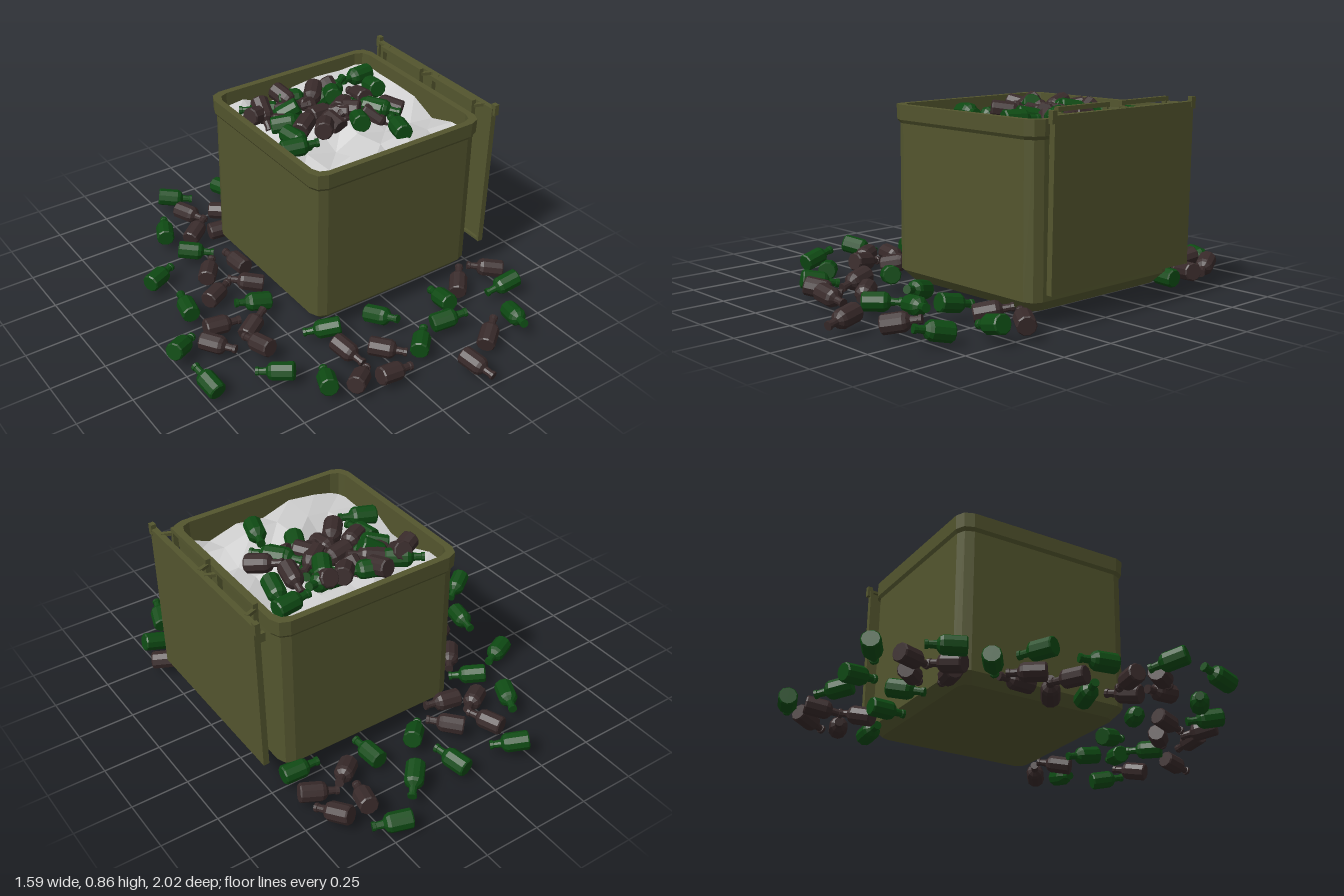
import * as THREE from 'three';

const mat = (name, color, side = THREE.FrontSide) =>
  new THREE.MeshStandardMaterial({ name, color, side, flatShading: true });

// small seeded random in the range -1..1
function makeRandom(seed) {
  return () => {
    seed = (seed * 16807) % 2147483647;
    return (seed / 2147483647) * 2 - 1;
  };
}

// rounded-rectangle loop of the bin at a given inset and height
function binLoop(inset, y) {
  const pts = [], hx = 0.42 - inset, hz = 0.415 - inset;
  const r = Math.max(0.02, 0.055 - inset * 0.3);
  for (const [sx, sz, a0] of [[1, 1, 0], [-1, 1, 1], [-1, -1, 2], [1, -1, 3]]) {
    for (let i = 0; i < 3; i++) {
      const a = (a0 + i / 2) * Math.PI / 2;
      pts.push(new THREE.Vector3(
        0.26 + sx * (hx - r) + r * Math.cos(a), y, -0.075 + sz * (hz - r) + r * Math.sin(a)));
    }
  }
  return pts;
}

// skin consecutive loops, closing the first one with a flat floor
function loft(loops) {
  const tris = [], n = loops[0].length;
  for (let k = 0; k < loops.length - 1; k++) {
    for (let i = 0; i < n; i++) {
      const j = (i + 1) % n, a = loops[k], b = loops[k + 1];
      tris.push(a[i], b[i], a[j], a[j], b[i], b[j]);
    }
  }
  for (let i = 1; i < n - 1; i++) tris.push(loops[0][0], loops[0][i], loops[0][i + 1]);
  const geo = new THREE.BufferGeometry().setFromPoints(tris);
  geo.computeVertexNormals();
  return geo;
}

// plan positions: base x, base z, neck x, neck z (hundredths of a unit)
const greenGround = [
  [-25, -92, -10, -83], [40, -98, 56, -92], [6, -89, 10, -73], [23, -77, 34, -89],
  [-39, -58, -32, -73], [16, -65, 4, -53], [-38, -47, -25, -38], [-61, -33, -46, -40],
  [-57, -2, -54, -17], [-22, 6, -37, 2], [-77, 18, -63, 9], [-71, 45, -73, 28],
  [-40, 54, -53, 43], [-9, 42, -23, 34], [-35, 71, -28, 56], [10, 72, 21, 61],
  [8, 37, 14, 53], [26, 61, 41, 65], [39, 57, 41, 41], [77, 58, 61, 56],
  [62, 69, 57, 85], [32, -64, 33, -49], [69, -50, 54, -51]];
const brownGround = [
  [-21, -77, -16, -64], [-8, -68, 2, -58], [-28, -54, -16, -62], [52, -85, 48, -71],
  [61, -84, 67, -72], [69, -63, 56, -68], [44, -59, 54, -68], [-37, -23, -29, -33],
  [-20, -19, -21, -32], [-45, -8, -31, -15], [-18, -7, -30, -15], [-56, 9, -41, 11],
  [-61, 15, -53, 27], [-43, 20, -30, 13], [-42, 37, -45, 23], [-17, 50, -14, 64],
  [-5, 58, 5, 69], [-25, 75, -13, 66], [-13, 76, 2, 76], [51, 48, 60, 38],
  [78, 47, 65, 38], [37, 83, 49, 74], [23, 85, 26, 100], [-16, -52, -5, -50]];
const greenPile = [
  [61, -36, 45, -34], [53, -18, 56, -33], [38, 20, 42, 7], [-10, 1, 3, 5],
  [43, -2, 36, -14], [28, 4, 34, -10], [12, -35, 24, -31], [-2, -20, 10, -12],
  [30, -20, 37, -33], [40, -8, 48, 3]];
const brownPile = [
  [-9, -27, 4, -32], [43, -15, 45, -28], [52, -1, 44, -11], [12, -40, 15, -26],
  [4, -8, 16, -16], [5, -28, 18, -22], [34, -6, 24, -18], [29, -34, 20, -24],
  [21, -2, 20, -17], [10, 1, 19, -10], [27, -12, 38, -20]];

export function createModel() {
  const root = new THREE.Group();
  const olive = mat('olive metal', 0x53552e, THREE.DoubleSide);
  const green = mat('green glass', 0x0e4a13);
  const brown = mat('brown glass', 0x382a2a);
  const grey = mat('pale filling', 0xd2d2d2, THREE.DoubleSide);

  const add = (name, geo, material, x = 0, y = 0, z = 0, parent = root) => {
    const mesh = new THREE.Mesh(geo, material);
    mesh.name = name;
    mesh.position.set(x, y, z);
    parent.add(mesh);
    return mesh;
  };
  const box = (name, w, h, d, x, y, z, parent) =>
    add(name, new THREE.BoxGeometry(w, h, d), olive, x, y, z, parent);

  // bin body with overhanging rim and hollow top
  const profile = [[0.04, 0.055], [0, 0.1], [0, 0.735], [-0.01, 0.75], [-0.012, 0.815],
    [0.018, 0.815], [0.022, 0.6]];
  add('binBody', loft(profile.map(([inset, y]) => binLoop(inset, y))), olive);

  // crumpled filling
  const rnd = makeRandom(4711);
  const fill = new THREE.PlaneGeometry(0.8, 0.79, 6, 6).rotateX(-Math.PI / 2);
  const p = fill.attributes.position;
  for (let i = 0; i < p.count; i++) {
    const inner = Math.abs(p.getX(i)) < 0.39 && Math.abs(p.getZ(i)) < 0.39 ? 0.015 : 0;
    p.setXYZ(i, p.getX(i) + rnd() * inner, 0.73 + rnd() * 0.04, p.getZ(i) + rnd() * inner);
  }
  fill.computeVertexNormals();
  add('filling', fill, grey, 0.26, 0, -0.075);

  // open lid hanging on the side, with a raised edge
  const lid = new THREE.Group();
  lid.name = 'lid';
  lid.position.set(0.767, 0.495, -0.075);
  lid.rotation.z = -0.015;
  root.add(lid);
  box('lidPanel', 0.012, 0.68, 0.81, 0.004, 0, 0, lid);
  for (const s of [-1, 1]) {
    box('lidSideEdge', 0.026, 0.69, 0.012, -0.003, 0, s * 0.403, lid);
    box('lidCrossEdge', 0.026, 0.012, 0.81, -0.003, s * 0.338, 0, lid);
    box('lidEar', 0.022, 0.05, 0.025, 0, 0.338, s * 0.41, lid);
  }

  // two hinge handles between bin and lid
  for (const z of [0.115, -0.245]) {
    const hinge = new THREE.Group();
    hinge.name = 'hingeHandle';
    hinge.position.z = z;
    root.add(hinge);
    box('hingeBar', 0.022, 0.018, 0.29, 0.716, 0.853, 0, hinge);
    for (const s of [-1, 1]) {
      box('hingeLeg', 0.022, 0.18, 0.018, 0.716, 0.765, s * 0.136, hinge);
      box('hingeFoot', 0.045, 0.04, 0.018, 0.698, 0.695, s * 0.136, hinge);
      box('hingeLink', 0.05, 0.014, 0.016, 0.742, 0.835, s * 0.15, hinge).rotation.y = -s * 0.35;
    }
  }

  // bottle, centred along its axis
  const bottle = new THREE.LatheGeometry([[0, 0], [0.036, 0], [0.041, 0.006], [0.041, 0.092],
    [0.034, 0.106], [0.017, 0.118], [0.015, 0.148], [0.019, 0.15], [0.019, 0.163], [0, 0.163]]
    .map(([r, y]) => new THREE.Vector2(r, y - 0.0815)), 10);
  const up = new THREE.Vector3(0, 1, 0);
  const place = (name, list, material, height, tilt) => {
    for (const [x0, z0, x1, z1] of list) {
      const x = (x0 + x1) / 200, z = (z0 + z1) / 200;
      const dir = new THREE.Vector3(x1 - x0, 0, z1 - z0).normalize();
      dir.y = rnd() * tilt;
      const mesh = add(name, bottle, material, x, height(x, z), z);
      mesh.quaternion.setFromUnitVectors(up, dir.normalize());
    }
  };
  const ground = () => 0.07 + rnd() * 0.012;
  place('greenBottle', greenGround, green, ground, 0.25);
  place('brownBottle', brownGround, brown, ground, 0.25);

  // heap of bottles on the filling
  const heap = () => 0.772 + rnd() * 0.012;
  place('greenHeapBottle', greenPile, green, heap, 0.25);
  place('brownHeapBottle', brownPile, brown, heap, 0.25);
  const loose = Array.from({ length: 20 }, () => {
    const x = 18 + rnd() * 19, z = -18 + rnd() * 17, a = rnd() * Math.PI;
    return [x, z, x + 10 * Math.cos(a), z + 10 * Math.sin(a)];
  });
  const low = () => 0.745 + rnd() * 0.03;
  place('greenHeapBottle', loose.slice(0, 9), green, low, 0.7);
  place('brownHeapBottle', loose.slice(9), brown, low, 0.7);

  return root;
}
